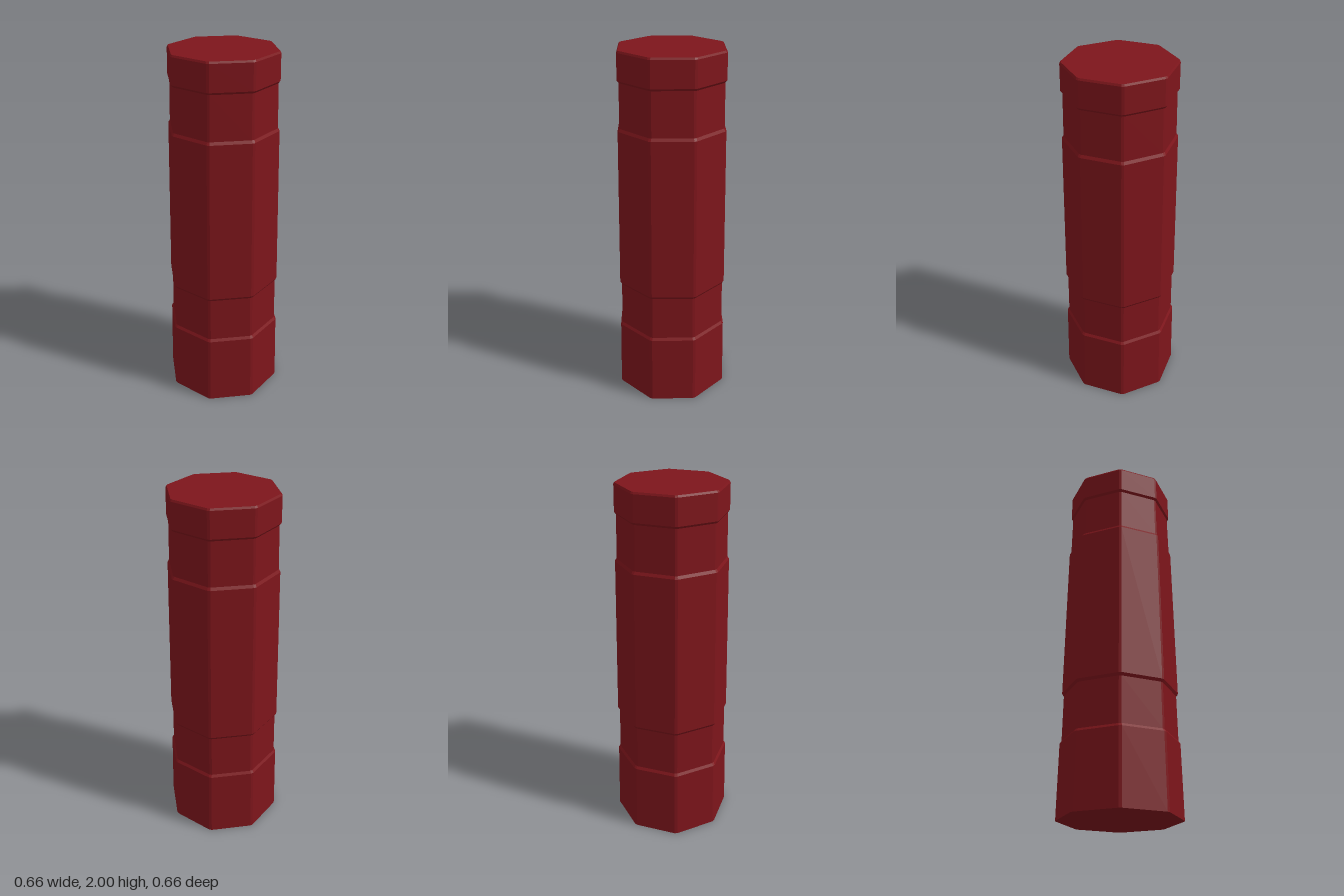
import * as THREE from 'three';

// Corner radius and height up the shaft, from bottom centre to top centre
const PROFILE = [
  [0, 0], [0.33, 0],
  [0.322, 0.405], [0.312, 0.42],  // foot band
  [0.308, 0.675], [0.318, 0.69],  // lower groove
  [0.303, 1.585], [0.294, 1.6],   // main grip
  [0.289, 1.838], [0.299, 1.85],  // upper groove
  [0.297, 1.99], [0.291, 2], [0, 2], // top cap
];
const CHAMFER = 0.024; // half angle of the narrow corner bevels

// Sixteen-sided lathe whose points are paired up at eight bevelled corners
function bevelledOctagon(profile) {
  const geometry = new THREE.LatheGeometry(profile.map(([r, y]) => new THREE.Vector2(r, y)), 16);
  const pos = geometry.attributes.position;
  const step = Math.PI / 8;
  for (let i = 0; i < pos.count; i++) {
    const x = pos.getX(i), z = pos.getZ(i);
    const r = Math.hypot(x, z);
    const k = Math.round(Math.atan2(x, z) / step);
    const angle = k % 2 === 0 ? k * step + CHAMFER : (k + 1) * step - CHAMFER;
    pos.setX(i, r * Math.sin(angle));
    pos.setZ(i, r * Math.cos(angle));
  }
  const flat = geometry.toNonIndexed();
  flat.computeVertexNormals();
  return flat;
}

export function createModel() {
  const group = new THREE.Group();
  group.name = 'handle';
  const material = new THREE.MeshStandardMaterial({ color: 0x7d151b, flatShading: true });
  const shaft = new THREE.Mesh(bevelledOctagon(PROFILE), material);
  shaft.name = 'bandedShaft';
  group.add(shaft);
  return group;
}
